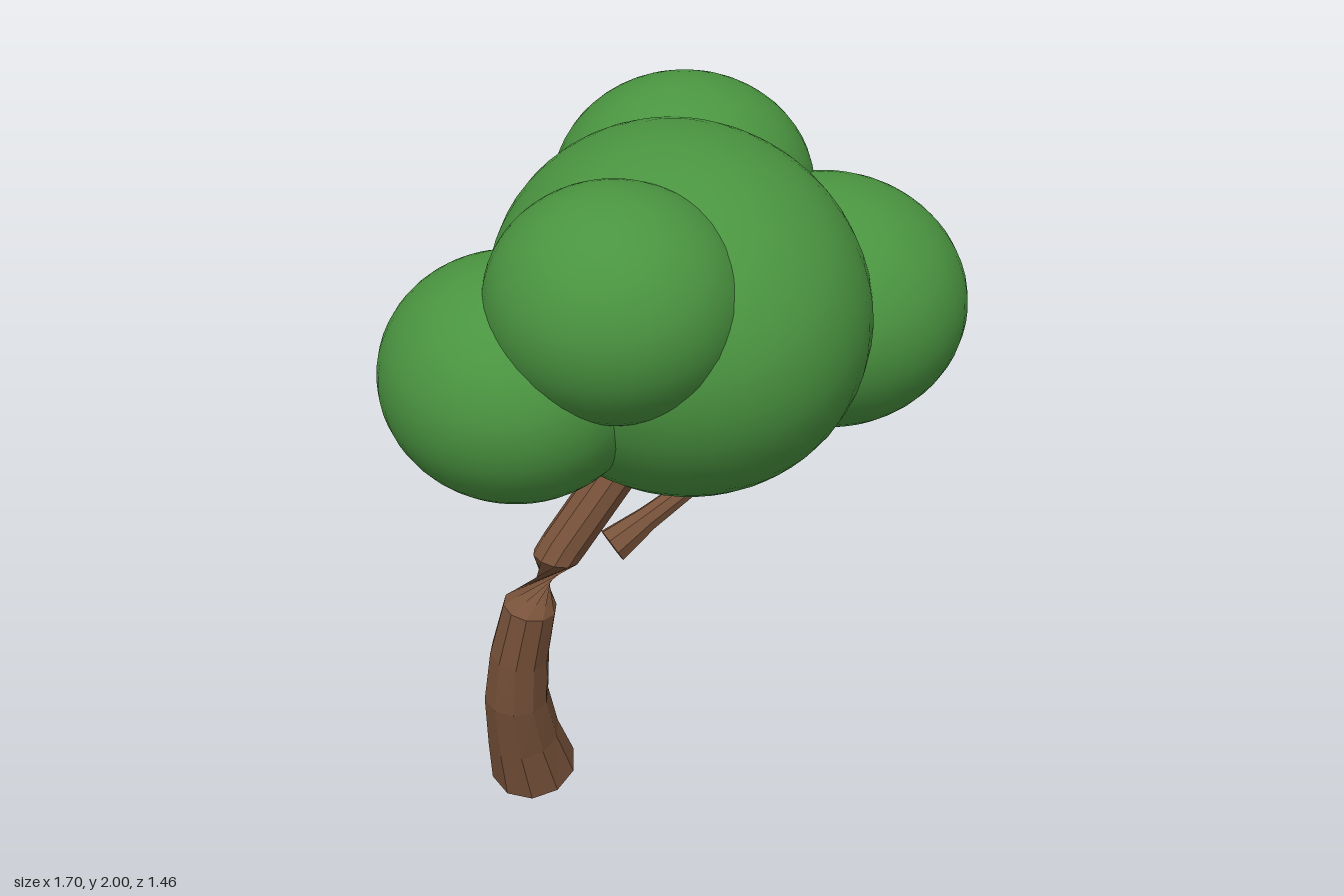
import * as THREE from 'three';

const leaf = new THREE.MeshStandardMaterial({ color: 0x4a9440 });
leaf.name = 'leaf green';
const bark = new THREE.MeshStandardMaterial({ color: 0x78523a, side: THREE.DoubleSide });
bark.name = 'bark brown';

// Faceted limb through rings of { c: centre, d: direction, r: radius, twist }
function limb(name, rings, sides) {
  const loops = rings.map(({ c, d, r, twist = 0 }) => {
    const t = new THREE.Vector3(...d).normalize();
    const u = new THREE.Vector3().crossVectors(t, new THREE.Vector3(0, 0, 1)).normalize();
    const v = new THREE.Vector3().crossVectors(t, u);
    return Array.from({ length: sides }, (_, j) => {
      const a = (j / sides) * Math.PI * 2 + twist;
      return new THREE.Vector3(...c).addScaledVector(u, r * Math.cos(a)).addScaledVector(v, r * Math.sin(a));
    });
  });
  const points = [];
  const last = loops.length - 1;
  const start = new THREE.Vector3(...rings[0].c);
  const end = new THREE.Vector3(...rings[last].c);
  for (let j = 0; j < sides; j++) {
    const k = (j + 1) % sides;
    for (let i = 0; i < last; i++) {
      const [a, b, c, d] = [loops[i][j], loops[i][k], loops[i + 1][k], loops[i + 1][j]];
      points.push(a, b, c, a, c, d);
    }
    points.push(start, loops[0][k], loops[0][j], end, loops[last][j], loops[last][k]);
  }
  const geometry = new THREE.BufferGeometry().setFromPoints(points);
  geometry.computeVertexNormals();
  const mesh = new THREE.Mesh(geometry, bark);
  mesh.name = name;
  return mesh;
}

// Rounded clump of leaves
function clump(name, centre, radii) {
  const geometry = new THREE.SphereGeometry(1, 40, 28);
  geometry.scale(...radii);
  const mesh = new THREE.Mesh(geometry, leaf);
  mesh.position.set(...centre);
  mesh.name = name;
  return mesh;
}

export function createModel() {
  const tree = new THREE.Group();
  tree.name = 'tree';

  // Leaning trunk, wrung into a narrow twist partway up
  const wring = 2.55;
  tree.add(limb('trunk', [
    { c: [-0.43, 0.052, -0.073], d: [-0.2, 0.9, 0.36], r: 0.125 },
    { c: [-0.465, 0.19, -0.03], d: [-0.2, 0.9, 0.26], r: 0.105 },
    { c: [-0.49, 0.35, 0.02], d: [-0.05, 0.95, 0.25], r: 0.092 },
    { c: [-0.483, 0.5, 0.052], d: [0.08, 0.95, 0.22], r: 0.084 },
    { c: [-0.456, 0.665, 0.087], d: [0.12, 0.95, 0.2], r: 0.075 },
    { c: [-0.385, 0.815, 0.11], d: [0.22, 0.95, 0.05], r: 0.064, twist: wring },
    { c: [-0.36, 0.85, 0.108], d: [0.5, 0.8, 0], r: 0.063, twist: wring },
    { c: [-0.2, 1.06, 0.097], d: [0.6, 0.78, -0.03], r: 0.063, twist: wring },
    { c: [-0.06, 1.23, 0.09], d: [0.6, 0.78, -0.03], r: 0.06, twist: wring },
  ], 10));

  // Thin side branch with a flared lower end
  const lean = [0.5, 0.3, -0.055];
  tree.add(limb('branch', [
    { c: [-0.203, 0.777, 0.013], d: lean, r: 0.053 },
    { c: [-0.1, 0.842, 0.002], d: lean, r: 0.036 },
    { c: [0.05, 0.932, -0.014], d: lean, r: 0.027 },
    { c: [0.3, 1.08, -0.042], d: lean, r: 0.02 },
    { c: [0.42, 1.152, -0.055], d: lean, r: 0.018 },
  ], 8));

  // Overlapping canopy
  tree.add(
    clump('mainCanopy', [-0.02, 1.485, 0.04], [0.505, 0.485, 0.63]),
    clump('rightCanopy', [-0.5, 1.395, 0.195], [0.35, 0.317, 0.39]),
    clump('frontCanopy', [-0.275, 1.64, 0.38], [0.33, 0.3, 0.345]),
    clump('leftCanopy', [0.45, 1.4, -0.12], [0.395, 0.35, 0.42]),
    clump('backCanopy', [0.11, 1.67, -0.37], [0.37, 0.33, 0.36]),
  );
  return tree;
}
